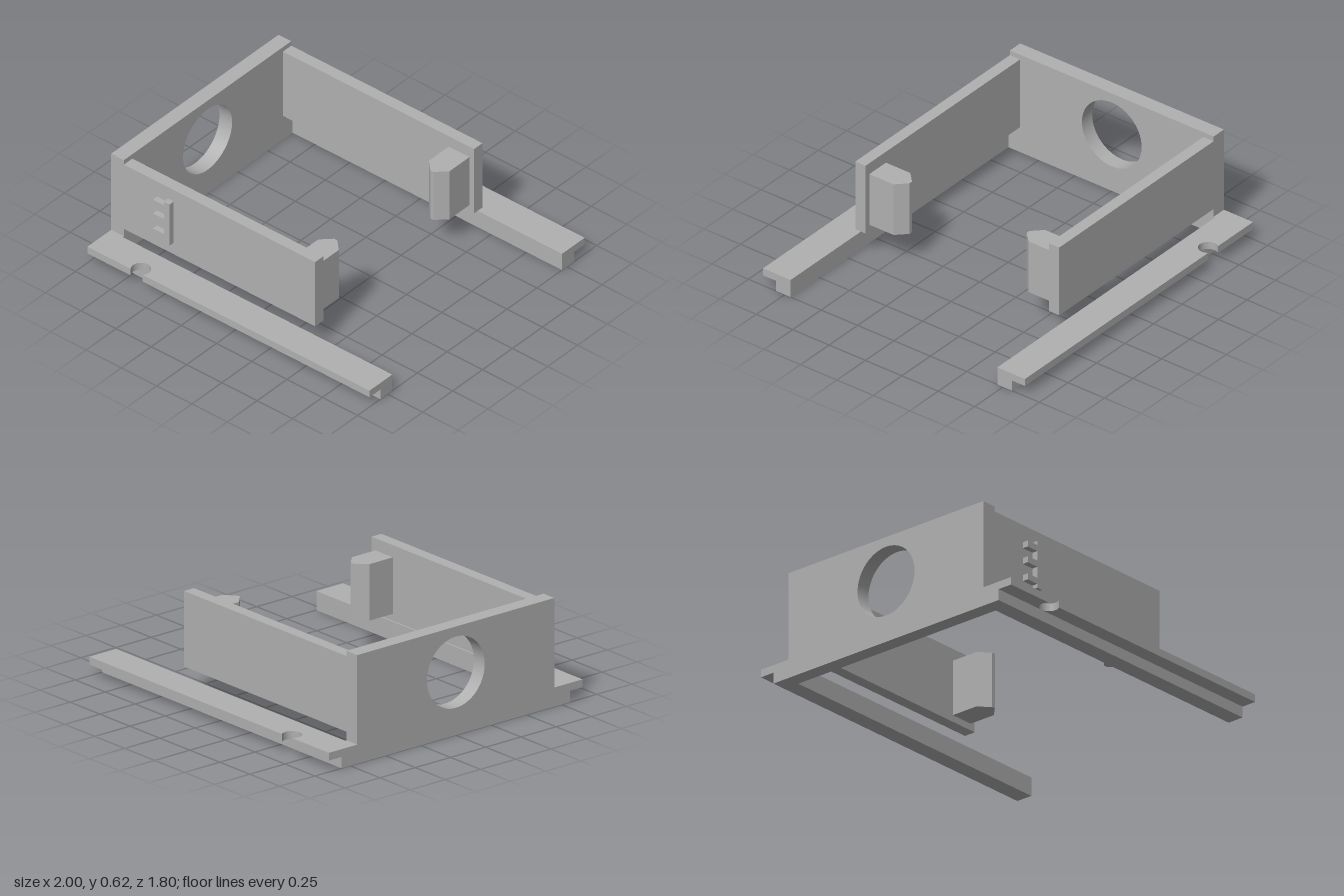
import * as THREE from 'three';
import { toCreasedNormals } from 'three/addons/utils/BufferGeometryUtils.js';

const grey = new THREE.MeshStandardMaterial({ color: 0xb0b0b0 });
grey.name = 'plain grey';

function addMesh(parent, name, geometry) {
  const mesh = new THREE.Mesh(toCreasedNormals(geometry, 0.6), grey);
  mesh.name = name;
  parent.add(mesh);
  return mesh;
}

// Box given by its extents
function addBox(parent, name, [x0, x1], [y0, y1], [z0, z1]) {
  const geo = new THREE.BoxGeometry(x1 - x0, y1 - y0, Math.abs(z1 - z0));
  geo.translate((x0 + x1) / 2, (y0 + y1) / 2, (z0 + z1) / 2);
  return addMesh(parent, name, geo);
}

// Plan outline of [x, z] points raised from y0 to y1
function addPlan(parent, name, points, y0, y1) {
  const shape = new THREE.Shape(points.map(([x, z]) => new THREE.Vector2(x, -z)));
  const geo = new THREE.ExtrudeGeometry(shape, { depth: y1 - y0, bevelEnabled: false });
  geo.rotateX(-Math.PI / 2);
  geo.translate(0, y0, 0);
  return addMesh(parent, name, geo);
}

export function createModel() {
  const model = new THREE.Group();
  model.name = 'slotBracket';

  // End wall with a round opening
  const wall = new THREE.Shape();
  wall.moveTo(-0.71, 0);
  wall.lineTo(0.71, 0);
  wall.lineTo(0.71, 0.11);
  wall.lineTo(0.7, 0.11);
  wall.lineTo(0.7, 0.625);
  wall.lineTo(-0.7, 0.625);
  wall.lineTo(-0.7, 0.11);
  wall.lineTo(-0.71, 0.11);
  wall.closePath();
  const hole = new THREE.Path();
  hole.absarc(0, 0.362, 0.205, 0, Math.PI * 2, true);
  wall.holes.push(hole);
  const wallGeo = new THREE.ExtrudeGeometry(wall, { depth: 0.09, bevelEnabled: false, curveSegments: 32 });
  wallGeo.rotateY(-Math.PI / 2);
  wallGeo.translate(-0.91, 0, 0);
  addMesh(model, 'endWall', wallGeo);

  for (const s of [1, -1]) {
    const side = new THREE.Group();
    side.name = s > 0 ? 'frontSide' : 'backSide';
    model.add(side);

    // Stepped rail: narrow foot below, wide flange with a round notch above
    addBox(side, 'railFoot', [-1, 1], [0, 0.065], [s * 0.71, s * 0.81]);
    const r = 0.055, zc = 0.865, open = Math.asin((0.9 - zc) / r);
    const flange = [[-1, 0.71], [1, 0.71], [1, 0.9]];
    for (let i = 0; i <= 28; i++) {
      const a = open - (i / 28) * (Math.PI + 2 * open);
      flange.push([-0.65 + r * Math.cos(a), zc + r * Math.sin(a)]);
    }
    flange.push([-1, 0.9]);
    addPlan(side, 'railFlange', flange.map(([x, z]) => [x, s * z]), 0.065, 0.11);

    // Side arm and its pointed inner catch
    addBox(side, 'sideArm', [-0.91, 0.445], [0.16, 0.595], [s * 0.63, s * 0.7]);
    const catchPlan = [[0.266, 0.63], [0.412, 0.63], [0.412, 0.463], [0.35, 0.402], [0.328, 0.402], [0.266, 0.463]];
    addPlan(side, 'catch', catchPlan.map(([x, z]) => [x, s * z]), 0.2, 0.525);
  }

  // Raised comb on the front arm
  const comb = new THREE.Group();
  comb.name = 'comb';
  model.add(comb);
  addBox(comb, 'combSpine', [-0.597, -0.557], [0.238, 0.517], [0.7, 0.735]);
  for (const y of [0.279, 0.381, 0.475]) {
    addBox(comb, 'combTooth', [-0.675, -0.597], [y - 0.018, y + 0.018], [0.7, 0.735]);
  }

  return model;
}
